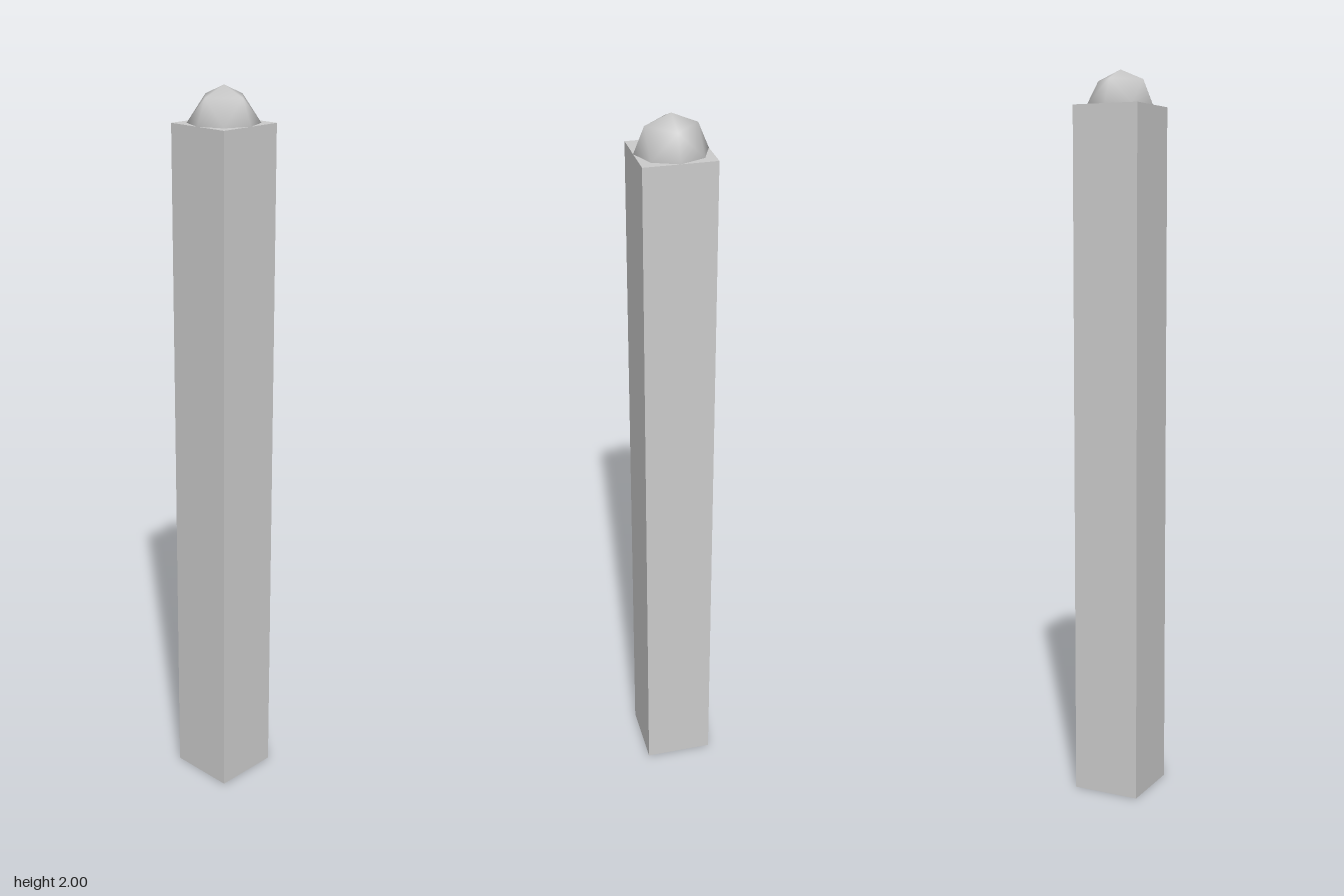
import * as THREE from 'three';

const WIDTH = 0.19;
const POST_HEIGHT = 1.905;

export function createModel() {
  const group = new THREE.Group();
  group.name = 'fencePost';
  const material = new THREE.MeshStandardMaterial({ color: 0xcccccc });

  // Square shaft standing on the ground
  const shaft = new THREE.Mesh(new THREE.BoxGeometry(WIDTH, POST_HEIGHT, WIDTH), material);
  shaft.name = 'shaft';
  shaft.position.y = POST_HEIGHT / 2;
  group.add(shaft);

  // Low-poly smooth ball, half sunk into the top of the shaft
  const cap = new THREE.Mesh(new THREE.OctahedronGeometry(WIDTH / 2, 1), material);
  cap.name = 'domeCap';
  cap.position.y = POST_HEIGHT;
  group.add(cap);

  return group;
}
